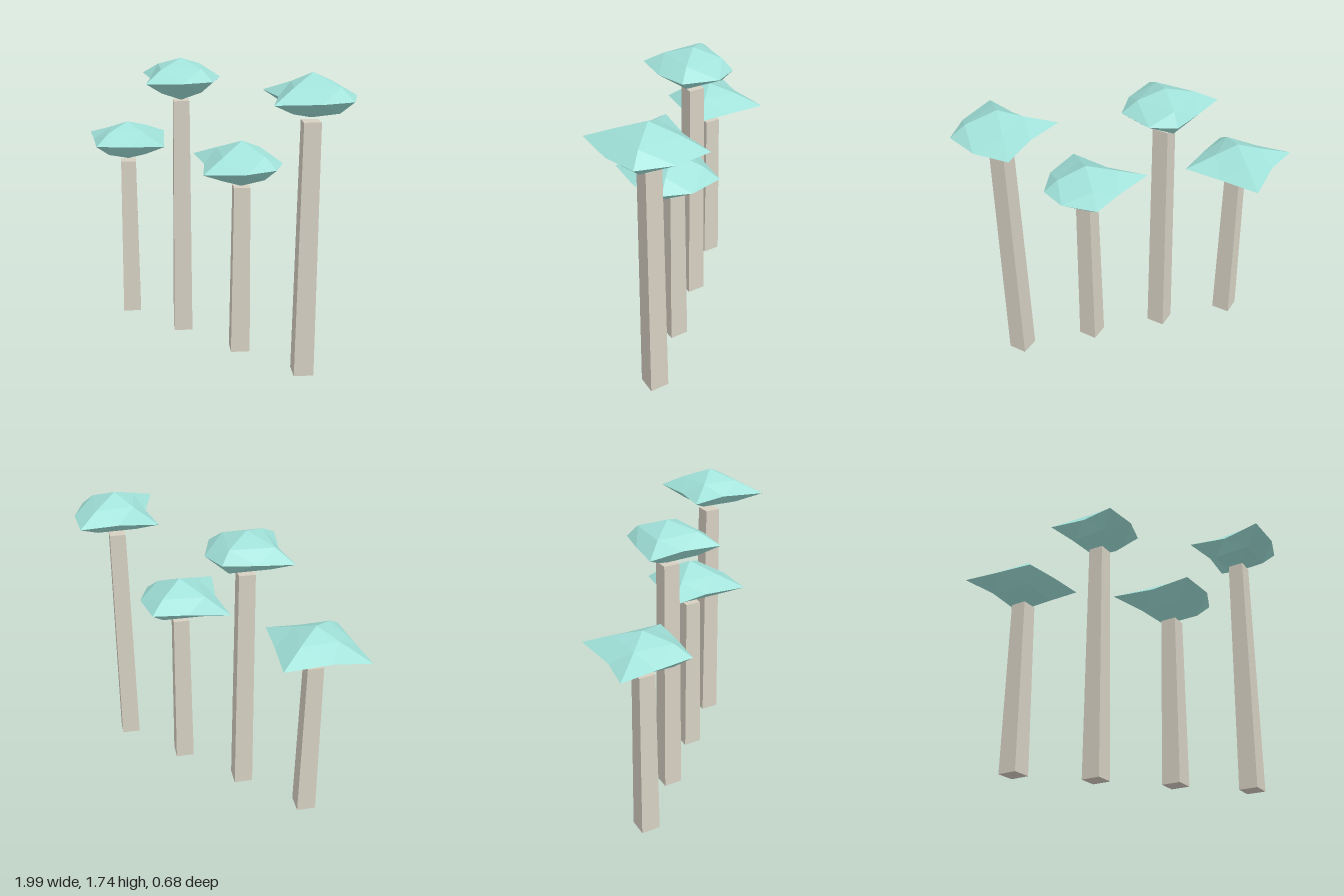
import * as THREE from 'three';

const stoneMaterial = new THREE.MeshStandardMaterial({ color: 0xd6d0c2, flatShading: true });
const capMaterial = new THREE.MeshStandardMaterial({ color: 0x9fe0d8, flatShading: true });

// Per pillar: post height, cap centre, cap tips [left, right, back, front, bottom, top],
// upper and lower x ridge points, and the four [x, z] rim points between the tips.
const pillars = [
  { x: -0.652, height: 1.037, y: 1.171, tips: [-0.35, 0.318, -0.342, 0.273, -0.123, 0.118],
    upper: [-0.142, 0.136], lower: [-0.158, 0.158],
    rim: { backLeft: [-0.179, -0.128], backRight: [0.163, -0.16], frontLeft: [-0.179, 0.13], frontRight: [0.16, 0.145] } },
  { x: -0.192, height: 1.484, y: 1.615, tips: [-0.313, 0.248, -0.235, 0.297, -0.131, 0.118],
    upper: [-0.184, 0.158], lower: [-0.163, 0.158],
    rim: { backLeft: [-0.152, -0.128], backRight: [0.147, -0.187], frontLeft: [-0.13, 0.128], frontRight: [0.163, 0.16] } },
  { x: 0.27, height: 1.037, y: 1.171, tips: [-0.369, 0.249, -0.267, 0.34, -0.134, 0.134],
    upper: [-0.187, 0.166], lower: [-0.17, 0.166],
    rim: { backLeft: [-0.16, -0.14], backRight: [0.18, -0.155], frontLeft: [-0.16, 0.144], frontRight: [0.176, 0.18] } },
  { x: 0.732, height: 1.484, y: 1.615, tips: [-0.323, 0.26, -0.313, 0.34, -0.112, 0.128],
    upper: [-0.136, 0.174], lower: [-0.152, 0.174],
    rim: { backLeft: [-0.142, -0.139], backRight: [0.163, -0.182], frontLeft: [-0.13, 0.123], frontRight: [0.174, 0.166] } },
];

// Moves one vertex of a once-divided octahedron to its place on the crystal cap
function capPoint(p, sx, sy, sz) {
  const [left, right, back, front, bottom, top] = p.tips;
  if (sx && sz) {
    const [x, z] = p.rim[(sz > 0 ? 'front' : 'back') + (sx > 0 ? 'Right' : 'Left')];
    return [x, 0, z];
  }
  const ridgeY = sy > 0 ? 0.067 : -0.07;
  if (sx && sy) return [(sy > 0 ? p.upper : p.lower)[sx > 0 ? 1 : 0], ridgeY, 0];
  if (sy && sz) return [0, ridgeY, sz * 0.17];
  if (sx) return [sx > 0 ? right : left, 0, 0];
  if (sz) return [0, 0, sz > 0 ? front : back];
  return [0, sy > 0 ? top : bottom, 0];
}

function makeCap(p) {
  const geometry = new THREE.OctahedronGeometry(1, 1);
  const pos = geometry.attributes.position;
  const sign = (v) => (Math.abs(v) < 0.1 ? 0 : Math.sign(v));
  for (let i = 0; i < pos.count; i++) {
    pos.setXYZ(i, ...capPoint(p, sign(pos.getX(i)), sign(pos.getY(i)), sign(pos.getZ(i))));
  }
  geometry.computeVertexNormals();
  const cap = new THREE.Mesh(geometry, capMaterial);
  cap.name = 'crystalCap';
  cap.position.y = p.y;
  return cap;
}

// Tapered square post with an edge facing forward
function makePost(height) {
  const post = new THREE.Mesh(new THREE.CylinderGeometry(0.067, 0.081, height, 4), stoneMaterial);
  post.name = 'post';
  post.position.y = height / 2;
  return post;
}

export function createModel() {
  const model = new THREE.Group();
  model.name = 'crystalPillars';
  pillars.forEach((p, i) => {
    const pillar = new THREE.Group();
    pillar.name = `pillar${i + 1}`;
    pillar.position.x = p.x;
    pillar.add(makePost(p.height), makeCap(p));
    model.add(pillar);
  });
  return model;
}
